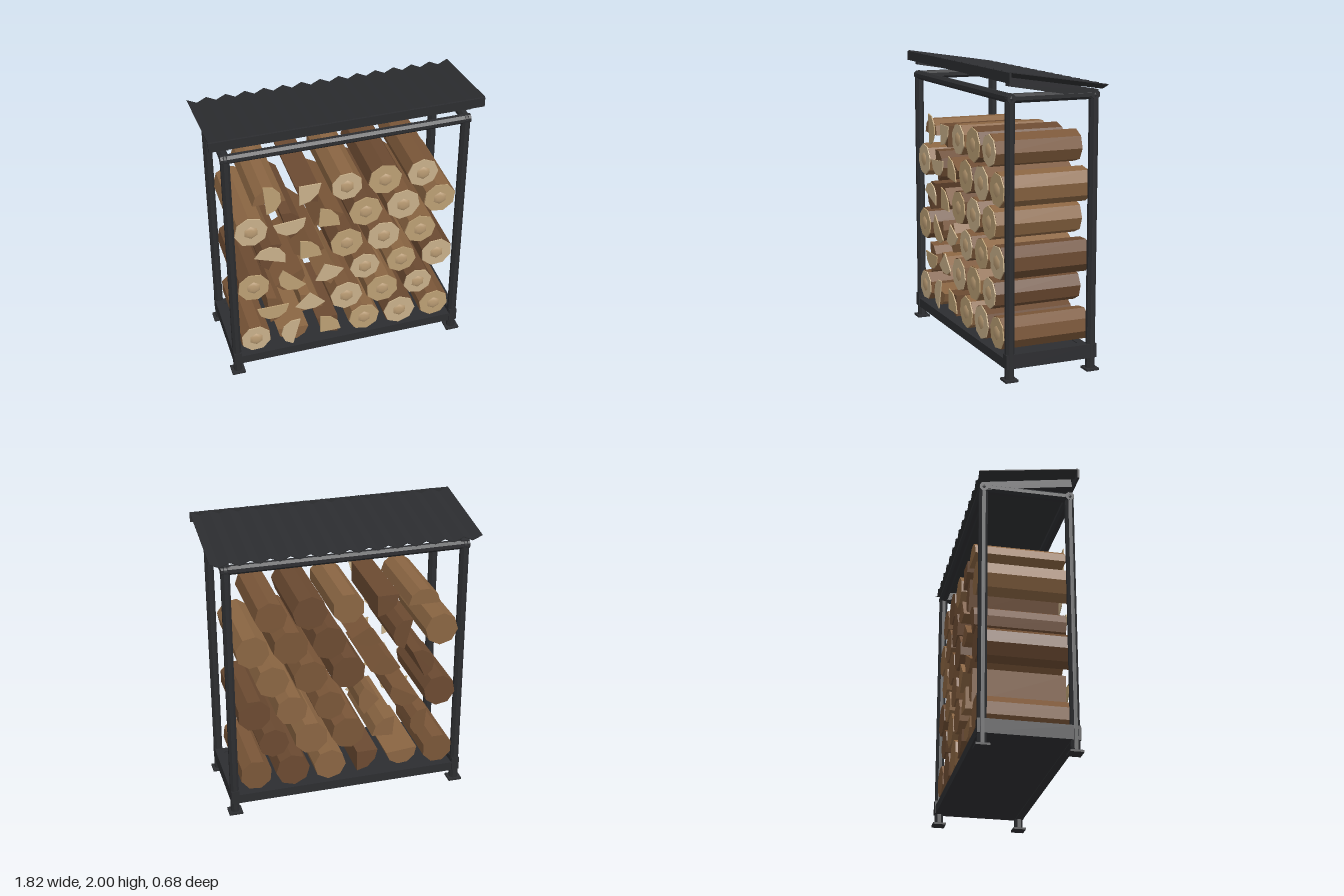
import * as THREE from 'three';

const mat = (color, flat = true) => new THREE.MeshStandardMaterial({ color, flatShading: flat });
const metal = mat(0x2c2d30);
const barks = [0x7a5638, 0x8a6542, 0x6b4a31].map((c) => mat(c));
const cuts = [0xc8b08a, 0xbb9f74].map((c) => mat(c));
const heart = mat(0xb89a72, false);

function add(parent, name, geometry, material, x = 0, y = 0, z = 0) {
  const mesh = new THREE.Mesh(geometry, material);
  mesh.name = name;
  mesh.position.set(x, y, z);
  parent.add(mesh);
  return mesh;
}
const box = (w, h, d) => new THREE.BoxGeometry(w, h, d);

// Eight-sided tube, flat faces square to the axes
const tube = (length) =>
  new THREE.CylinderGeometry(0.0315, 0.0315, length, 8).rotateY(Math.PI / 8);

// Pie slice (or full polygon) prism, its arc centred on direction dir
function prism(r, dir, sweep, n, depth) {
  const full = sweep > 6.2;
  const pts = full || sweep > 3.1 ? [] : [new THREE.Vector2()];
  for (let i = 0; i < n + (full ? 0 : 1); i++) {
    const a = dir - sweep / 2 + (sweep * i) / n;
    pts.push(new THREE.Vector2(Math.cos(a) * r, Math.sin(a) * r));
  }
  return new THREE.ExtrudeGeometry(new THREE.Shape(pts), { depth, bevelEnabled: false });
}

const BACK = -0.31, LENGTH = 0.615, CAP = 0.008;

function roundLog(parent, x, y, r, i) {
  const log = new THREE.Group();
  log.name = 'roundLog';
  log.position.set(x, y, 0);
  const turn = Math.PI / 8 + ((i * 5) % 7) * 0.1;
  add(log, 'bark', prism(r, turn, Math.PI * 2, 8, LENGTH), barks[i % 3], 0, 0, BACK);
  add(log, 'cutEnd', prism(r * 0.97, turn + 0.07, Math.PI * 2, 8, CAP), cuts[i % 2], 0, 0, BACK + LENGTH);
  const core = new THREE.SphereGeometry(0.054, 6, 6).rotateX(Math.PI / 2).rotateZ(Math.PI / 6);
  add(log, 'heartwood', core, heart, 0, 0, BACK + LENGTH + CAP - 0.006).scale.z = 0.35;
  parent.add(log);
}

// Split log: bark wedge with a cut face turned against it
function splitLog(parent, x, y, half, cutDeg, barkDeg, i) {
  const log = new THREE.Group();
  log.name = half ? 'halfLog' : 'quarterLog';
  log.position.set(x, y, 0);
  const r = half ? 0.112 : 0.15;
  const sweep = half ? Math.PI : Math.PI / 2;
  const n = half ? 5 : 3;
  const shift = half ? 0.03 : 0.09;
  const piece = (name, deg, depth, material, z) => {
    const a = THREE.MathUtils.degToRad(deg);
    add(log, name, prism(r, a, sweep, n, depth), material, -Math.cos(a) * shift, -Math.sin(a) * shift, z);
  };
  piece('bark', barkDeg, LENGTH, barks[i % 3], BACK);
  piece('cutEnd', cutDeg, CAP, cuts[i % 2], BACK + LENGTH);
  parent.add(log);
}

function buildLogs() {
  const logs = new THREE.Group();
  logs.name = 'logStack';
  // Per row: height, half log [cut, bark angle], quarter log [cut, bark angle], round radii
  const rows = [
    { y: 0.28, half: [165, -95], quarter: [45, 225], r: [0.11, 0.115, 0.12, 0.112] },
    { y: 0.515, half: [-90, 5], quarter: [-90, 50], r: [0.12, 0.12, 0.107] },
    { y: 0.75, half: [225, -60], quarter: [-72, 0], r: [0.115, 0.11, 0.11, 0.116] },
    { y: 0.987, half: [70, 155], quarter: [45, -90], r: [0.12, 0.12, 0.115] },
    { y: 1.225, half: [-85, 15], quarter: [40, -75], r: [0.117, 0.12, 0.122, 0.116] },
    { y: 1.46, half: [5, 90], quarter: [-45, 225], r: [0.11, 0.12, 0.11] },
  ];
  let i = 0;
  rows.forEach(({ y, half, quarter, r }, row) => {
    const wide = row % 2 === 0;
    const xs = wide ? [-0.665, 0.125, 0.39, 0.65] : [-0.007, 0.256, 0.52];
    r.forEach((radius, k) => roundLog(logs, xs[k], y, radius, i++));
    splitLog(logs, wide ? -0.4 : -0.535, y, true, ...half, i++);
    splitLog(logs, wide ? -0.135 : -0.27, y, false, ...quarter, i++);
  });
  return logs;
}

function buildFrame() {
  const frame = new THREE.Group();
  frame.name = 'frame';
  const X = 0.805, Z = 0.292, TOP = 1.825;
  for (const sx of [-1, 1]) {
    for (const sz of [-1, 1]) {
      add(frame, 'foot', box(0.095, 0.014, 0.09), metal, sx * X, 0.007, sz * Z);
      add(frame, 'post', tube(TOP), metal, sx * X, TOP / 2, sz * Z);
      add(frame, 'cornerJoint', new THREE.SphereGeometry(0.034, 10, 8), metal, sx * X, TOP, sz * Z);
    }
    add(frame, 'sideBaseRail', box(0.055, 0.095, 0.65), metal, sx * X, 0.1325, 0);
    add(frame, 'sideTopRail', tube(2 * Z).rotateX(Math.PI / 2), metal, sx * X, TOP, 0);
  }
  for (const sz of [-1, 1]) {
    add(frame, 'longBaseRail', box(1.6, 0.065, 0.055), metal, 0, 0.1125, sz * Z);
    add(frame, 'longTopRail', tube(1.67).rotateZ(Math.PI / 2), metal, 0, TOP, sz * Z);
  }
  add(frame, 'floorPanel', box(1.6, 0.055, 0.6), metal, 0, 0.1125, 0);
  return frame;
}

function buildRoof() {
  const roof = new THREE.Group();
  roof.name = 'roof';
  const slope = -0.15, W = 0.91, waves = 14, steps = waves * 4;
  // Corrugated sheet: a closed wave outline swept from back to front
  const top = [], bottom = [];
  for (let i = 0; i <= steps; i++) {
    const x = -W + (2 * W * i) / steps;
    const y = 0.015 * Math.cos((i / 4) * Math.PI * 2);
    top.push(new THREE.Vector2(x, y + 0.003));
    bottom.unshift(new THREE.Vector2(x, y - 0.003));
  }
  const sheet = new THREE.ExtrudeGeometry(new THREE.Shape([...top, ...bottom]), { depth: 0.68, bevelEnabled: false });
  sheet.translate(0, 0, -0.34);
  add(roof, 'corrugatedSheet', sheet, metal, 0, 1.93, 0).rotation.x = slope;
  // Front trim: an upright lip
  add(roof, 'frontLip', box(2 * W, 0.065, 0.014), metal, 0, 1.96, 0.334);
  // Sloping rafters over the side rails
  for (const sx of [-1, 1]) {
    add(roof, 'rafter', box(0.055, 0.058, 0.62), metal, sx * 0.805, 1.88, 0).rotation.x = slope - 0.015;
  }
  return roof;
}

export function createModel() {
  const model = new THREE.Group();
  model.name = 'firewoodRack';
  model.add(buildFrame(), buildLogs(), buildRoof());
  return model;
}
